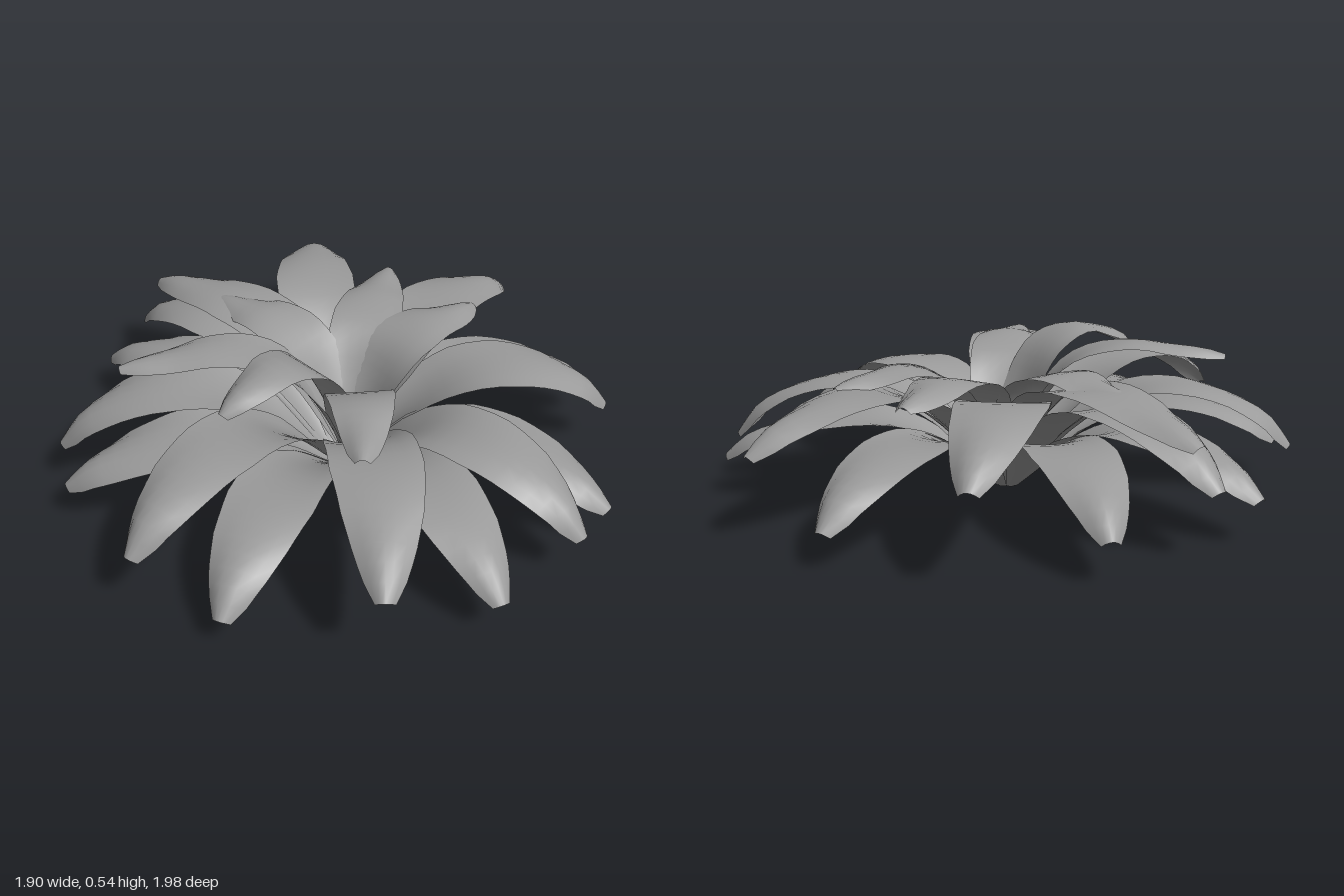
import * as THREE from 'three';

const material = new THREE.MeshStandardMaterial({ color: 0x9a9a9a, side: THREE.DoubleSide });

// Piecewise linear lookup through [u, value] pairs
function sample(table, u) {
  for (let i = 1; i < table.length; i++) {
    const [a, va] = table[i - 1], [b, vb] = table[i];
    if (u <= b) return va + (vb - va) * (u - a) / (b - a);
  }
  return table[table.length - 1][1];
}

const WIDTH = [[0, 0.04], [0.15, 0.14], [0.3, 0.235], [0.45, 0.28], [0.6, 0.285], [0.75, 0.24], [0.87, 0.175], [0.95, 0.12], [1, 0.06]];
// Edges cup upward at the base and roll down toward the tip
const CUP = [[0, 0.3], [0.25, 0.35], [0.5, 0.06], [0.75, -0.18], [0.9, -0.5], [1, -0.7]];
// Spine as [share of reach, share of peak height, share of the drop to the tip]
const ARCH = [[0.25, 0.6, 0], [0.44, 0.93, 0], [0.62, 1, 0], [0.79, 1, 0.17], [0.92, 1, 0.5], [1, 1, 1]];
const STEEP_ARCH = [[0.17, 0.55, 0], [0.33, 0.88, 0], [0.55, 1, 0], [0.77, 1, 0.2], [0.92, 1, 0.55], [1, 1, 1]];
const ROWS = 20, COLS = 6;

// One arching leaf: tip x, tip z, tip height, peak height, width scale, sideways bend
function makeLeaf(name, { base, root, arch }, [x, z, tipY, peak, widthScale = 1, bend = 0]) {
  const dir = new THREE.Vector3(x - base[0], 0, z - base[1]);
  const reach = dir.length();
  dir.normalize();
  const side = new THREE.Vector3(dir.z, 0, -dir.x);
  const point = (r, y) => new THREE.Vector3(base[0], y, base[1])
    .addScaledVector(dir, r)
    .addScaledVector(side, bend * Math.sin(Math.PI * r / reach));
  const spine = new THREE.CatmullRomCurve3([
    point(root, 0.005),
    ...arch.map(([r, rise, fall]) => point(r * reach, rise * peak - fall * (peak - tipY))),
  ]);

  const positions = [], index = [];
  for (let i = 0; i <= ROWS; i++) {
    const u = i / ROWS;
    const center = spine.getPointAt(u);
    const tangent = spine.getTangentAt(u);
    const across = new THREE.Vector3(tangent.z, 0, -tangent.x).normalize();
    const normal = new THREE.Vector3().crossVectors(tangent, across).normalize();
    const half = sample(WIDTH, u) * widthScale / 2;
    for (let j = 0; j <= COLS; j++) {
      const s = j / COLS * 2 - 1;
      const p = center.clone()
        .addScaledVector(across, s * half)
        .addScaledVector(normal, sample(CUP, u) * half * s * s);
      positions.push(p.x, Math.max(p.y, 0), p.z);
      if (i < ROWS && j < COLS) {
        const a = i * (COLS + 1) + j, b = a + COLS + 1;
        index.push(a, a + 1, b, a + 1, b + 1, b);
      }
    }
  }
  // Corner order that faces the upper side outward
  index.reverse();
  const geometry = new THREE.BufferGeometry();
  geometry.setAttribute('position', new THREE.Float32BufferAttribute(positions, 3));
  geometry.setIndex(index);
  geometry.computeVertexNormals();
  const leaf = new THREE.Mesh(geometry, material);
  leaf.name = name;
  return leaf;
}

const TIERS = {
  lowerLeaf: {
    base: [0, 0], root: 0.04, arch: ARCH,
    leaves: [
      [0.60, -0.76, 0.12, 0.28], [0.95, 0.0, 0.14, 0.28, 1.05, 0.07], [0.69, 0.67, 0.15, 0.28, 1, 0.02], [0.20, 0.95, 0.14, 0.28, 0.95, 0.02],
      [-0.60, 0.75, 0.12, 0.28], [-0.95, 0.02, 0.14, 0.28, 1.05, 0.06], [-0.69, -0.68, 0.15, 0.28, 1, 0.02], [-0.19, -0.96, 0.14, 0.28, 0.95, 0.03],
    ],
  },
  middleLeaf: {
    base: [0, 0], root: 0.025, arch: ARCH,
    leaves: [
      [0.20, -0.99, 0.30, 0.43, 1, 0.04], [0.82, -0.53, 0.28, 0.41], [0.93, 0.17, 0.17, 0.37], [0.54, 0.79, 0.17, 0.36],
      [-0.18, 0.99, 0.30, 0.43, 1, 0.04], [-0.82, 0.53, 0.23, 0.41], [-0.94, -0.17, 0.17, 0.37], [-0.53, -0.81, 0.22, 0.38],
    ],
  },
  upperLeaf: {
    base: [0.03, 0.0], root: 0, arch: STEEP_ARCH,
    leaves: [
      [-0.46, -0.83, 0.36, 0.44, 0.95], [0.36, -0.55, 0.42, 0.45, 0.85], [0.57, -0.23, 0.41, 0.45, 0.85, -0.02],
      [-0.31, -0.53, 0.43, 0.46, 0.85], [-0.72, -0.11, 0.47, 0.51, 0.75], [-0.46, 0.23, 0.46, 0.54, 0.8],
      [-0.11, 0.57, 0.46, 0.48, 0.78, 0.02],
    ],
  },
};

export function createModel() {
  const plant = new THREE.Group();
  plant.name = 'rosettePlant';
  for (const [name, tierShape] of Object.entries(TIERS)) {
    const tier = new THREE.Group();
    tier.name = name + 'Tier';
    tierShape.leaves.forEach((leaf, i) => tier.add(makeLeaf(name + (i + 1), tierShape, leaf)));
    plant.add(tier);
  }
  return plant;
}
